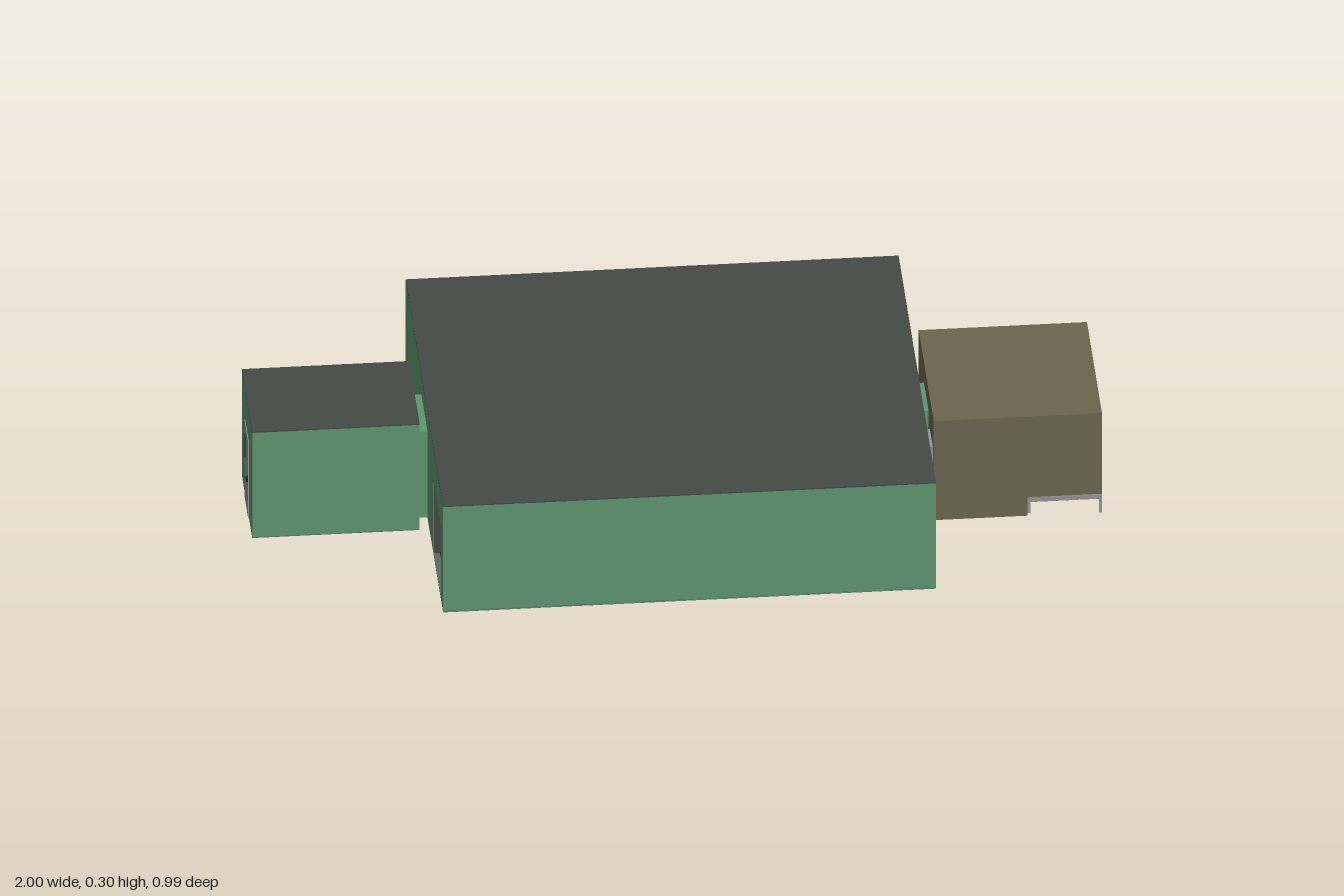
import * as THREE from 'three';

const mat = (name, color) => new THREE.MeshStandardMaterial({ name, color });

export function createModel() {
  const green = mat('wall green', 0x5f9670);
  const dark = mat('roof grey', 0x454a46);
  const slab = mat('floor grey green', 0x5e6c63);
  const brown = mat('container brown', 0x6c654f);
  const grey = mat('door grey', 0x929499);
  const black = mat('shutter black', 0x1c1c1c);
  const pale = mat('drain pale green', 0x9fd8b2);

  const model = new THREE.Group();
  model.name = 'industrialHall';

  // Box given by its minimum and maximum on each axis
  const box = (parent, name, m, x0, x1, y0, y1, z0, z1) => {
    const mesh = new THREE.Mesh(new THREE.BoxGeometry(x1 - x0, y1 - y0, z1 - z0), m);
    mesh.position.set((x0 + x1) / 2, (y0 + y1) / 2, (z0 + z1) / 2);
    mesh.name = name;
    parent.add(mesh);
  };
  const extrude = (pts, depth) => new THREE.ExtrudeGeometry(
    new THREE.Shape(pts.map(p => new THREE.Vector2(...p))), { depth, bevelEnabled: false });

  const W = 0.58, D = 0.493, H = 0.296, T = 0.04;
  const hall = new THREE.Group();
  hall.name = 'hall';
  hall.position.x = 0.003;
  model.add(hall);

  // Hall wall with an optional recessed doorway; local z points outwards
  const wall = (name, half, dist, angle, door) => {
    const group = new THREE.Group();
    group.name = name;
    group.rotation.y = angle;
    const pts = [[-half, 0]];
    if (door) pts.push([door.a, 0], [door.a, door.h], [door.b, door.h], [door.b, 0]);
    pts.push([half, 0], [half, H - 0.003], [-half, H - 0.003]);
    const mesh = new THREE.Mesh(extrude(pts, T), green);
    mesh.name = name + 'Panel';
    mesh.position.z = dist - T;
    group.add(mesh);
    if (door) {
      const { a, b, h, color } = door, zi = dist - T, zo = dist - 0.001;
      box(group, 'doorPanel', color, a, b, 0, h, zi - 0.004, zi + 0.003);
      box(group, 'doorJamb', color, a, a + 0.001, 0, h, zi, zo);
      box(group, 'doorJamb', color, b - 0.001, b, 0, h, zi, zo);
      box(group, 'doorHead', color, a, b, h - 0.001, h, zi, zo);
    }
    hall.add(group);
    return group;
  };

  wall('frontWall', W, D, 0);
  wall('rightWall', D, W, Math.PI / 2, { a: 0.295, b: 0.393, h: 0.2, color: grey });
  wall('leftWall', D, W, -Math.PI / 2, { a: 0.24, b: 0.44, h: 0.205, color: dark });
  const back = wall('backWall', W, D, Math.PI, { a: -0.386, b: 0.405, h: 0.255, color: black });

  // Shutter post and sill
  box(back, 'shutterPost', black, -0.006, 0.014, 0, 0.255, D - T, D - 0.001);
  box(back, 'shutterSill', black, -0.386, 0.405, -0.001, 0.005, D - T, D - 0.02);

  // Roof and floor slabs; the floor is cut out at the side door
  box(hall, 'hallRoof', dark, -W, W, H - 0.004, H, -D, D);
  const floor = new THREE.Mesh(extrude([
    [-W, -D], [W, -D], [W, 0.295], [W - T, 0.295], [W - T, 0.393], [W, 0.393],
    [W, D], [-W, D]], 0.004), slab);
  floor.geometry.rotateX(-Math.PI / 2);
  floor.position.y = -0.0005;
  floor.name = 'hallFloor';
  hall.add(floor);

  // Fittings set in the floor
  const y0 = -0.001, y1 = 0.006;
  box(hall, 'floorChannel', black, -0.335, 0.31, y0, y1, -0.338, -0.298);
  box(hall, 'leftDoorSill', black, -0.565, -0.518, y0, y1, 0.24, 0.44);
  box(hall, 'drainPlate', black, -0.052, 0.034, y0, y1, 0.146, 0.232);
  for (let i = 0; i < 3; i++)
    for (let j = 0; j < 3; j++) {
      const x = -0.048 + i * 0.028, z = 0.15 + j * 0.028;
      box(hall, 'drainTile', pale, x, x + 0.02, y0 - 0.0006, y1, z, z + 0.02);
    }

  // Left annex with its link to the hall
  const annex = new THREE.Group();
  annex.name = 'annex';
  model.add(annex);
  box(annex, 'annexWalls', green, -0.994, -0.6, 0.002, H - 0.003, -0.14, 0.133);
  box(annex, 'annexRoof', dark, -0.994, -0.6, H - 0.004, H, -0.14, 0.133);
  box(annex, 'annexFloor', slab, -0.994, -0.6, 0, 0.003, -0.14, 0.133);
  box(annex, 'annexLink', green, -0.6, -0.577, 0, 0.24, -0.08, 0.08);
  box(annex, 'annexDoor', grey, -0.996, -0.99, 0, 0.212, -0.053, 0.045);
  box(annex, 'annexDoorWindow', black, -0.9975, -0.994, 0.125, 0.18, -0.038, -0.022);
  box(annex, 'annexDoorHandle', black, -1, -0.994, 0.096, 0.104, 0.024, 0.038);

  // Right container with a notched lower corner
  const container = new THREE.Group();
  container.name = 'container';
  model.add(container);
  box(container, 'containerBody', brown, 0.604, 1, 0.05, 0.276, -0.198, 0.198);
  const base = new THREE.Mesh(extrude([
    [0.604, -0.198], [0.825, -0.198], [0.825, -0.14], [1, -0.14],
    [1, 0.198], [0.604, 0.198]], 0.05), brown);
  base.geometry.rotateX(-Math.PI / 2);
  base.name = 'containerBase';
  container.add(base);

  // Rails and posts around the notch
  box(container, 'frontRail', grey, 0.825, 1, 0.039, 0.051, 0.19, 0.2);
  box(container, 'sideRail', grey, 0.993, 1, 0.036, 0.051, 0.14, 0.2);
  box(container, 'cornerPost', grey, 0.993, 1, 0, 0.051, 0.193, 0.2);
  box(container, 'innerPost', grey, 0.825, 0.831, 0.008, 0.05, 0.193, 0.2);
  box(container, 'lowerRail', grey, 0.825, 1, 0.008, 0.012, 0.14, 0.144);

  // Link and duct between hall and container
  box(container, 'containerLink', green, 0.583, 0.604, 0, 0.218, -0.06, 0.06);
  box(container, 'duct', grey, 0.583, 0.604, 0.1, 0.19, 0.098, 0.175);

  return model;
}
